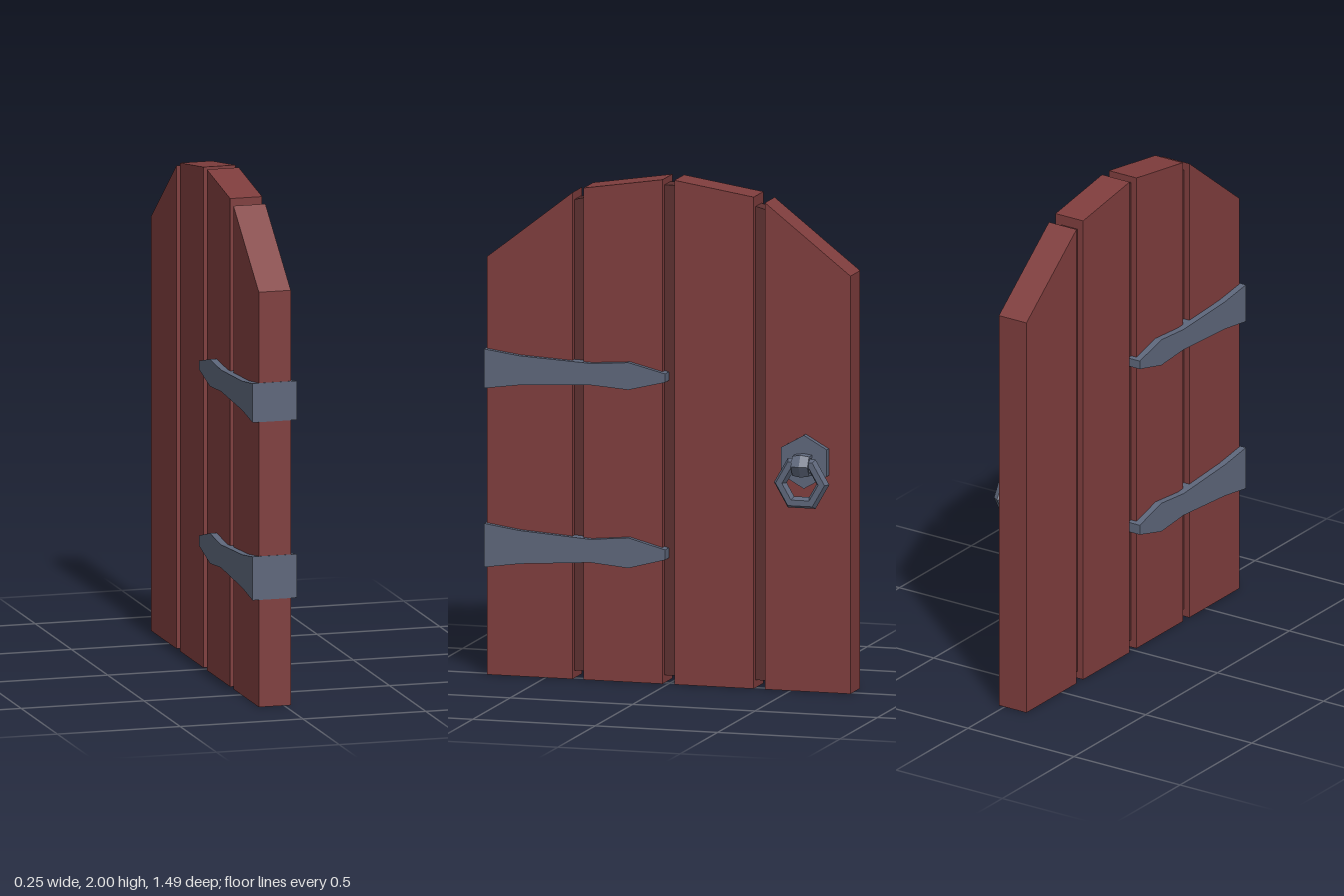
import * as THREE from 'three';

const wood = new THREE.MeshStandardMaterial({ color: 0x7f3d3d, flatShading: true });
const darkWood = new THREE.MeshStandardMaterial({ color: 0x5c3030, flatShading: true });
const iron = new THREE.MeshStandardMaterial({ color: 0x5d667a, flatShading: true });

// Cuts a slab from a [u, y] outline, where u = -z, between x0 and x1
function slab(name, outline, x0, x1, material) {
  const shape = new THREE.Shape(outline.map(([u, y]) => new THREE.Vector2(u, y)));
  const geometry = new THREE.ExtrudeGeometry(shape, { depth: x1 - x0, bevelEnabled: false });
  geometry.rotateY(Math.PI / 2).translate(x0, 0, 0);
  const mesh = new THREE.Mesh(geometry, material);
  mesh.name = name;
  return mesh;
}

function createStrap(name, y, halfHeights) {
  const us = [-0.745, -0.6, -0.31, -0.155, -0.005];
  const lower = us.map((u, i) => [u, y - halfHeights[i]]);
  const upper = us.map((u, i) => [u, y + halfHeights[i]]).reverse();
  return slab(name, [...lower, ...upper], -0.13, 0.05, iron);
}

function createHandle() {
  const handle = new THREE.Group();
  handle.name = 'handle';

  // Hexagonal plate, point up
  const hexagon = Array.from({ length: 6 }, (_, i) => {
    const a = Math.PI / 6 + i * Math.PI / 3;
    return [0.563 + 0.108 * Math.cos(a), 0.915 + 0.106 * Math.sin(a)];
  });
  handle.add(slab('handlePlate', hexagon, 0.02, 0.055, iron));

  // Broad staple that holds the ring
  const staple = new THREE.Mesh(new THREE.TorusGeometry(0.039, 0.012, 6, 6), iron);
  staple.name = 'handleStaple';
  staple.scale.z = 3.3;
  staple.position.set(0.074, 0.905, -0.563);
  handle.add(staple);

  // Six-sided pull ring
  const ring = new THREE.Mesh(new THREE.TorusGeometry(0.087, 0.026, 6, 6), iron);
  ring.name = 'handleRing';
  ring.rotation.y = Math.PI / 2;
  ring.position.set(0.083, 0.835, -0.563);
  handle.add(ring);
  return handle;
}

export function createModel() {
  const door = new THREE.Group();
  door.name = 'door';

  // Planks: left and right edge, top height at each edge
  const planks = [
    [-0.74, -0.39, 1.657, 1.93],
    [-0.345, -0.022, 1.95, 2.0],
    [0.026, 0.35, 2.0, 1.95],
    [0.396, 0.745, 1.93, 1.657],
  ];
  planks.forEach(([a, b, ya, yb], i) => {
    const outline = [[a, 0], [b, 0], [b, yb], [a, ya]];
    door.add(slab(`plank${i + 1}`, outline, -0.103, 0.027, wood));
  });

  // Thinner core that shows in the gaps
  const core = [[-0.42, 0.03], [0.42, 0.03], [0.42, 1.89], [0.345, 1.91], [0.03, 1.975],
    [-0.025, 1.975], [-0.34, 1.91], [-0.42, 1.89]];
  door.add(slab('core', core, -0.077, 0.0, darkWood));

  // Hinge straps
  door.add(createStrap('upperStrap', 1.217, [0.078, 0.058, 0.043, 0.054, 0.017]));
  door.add(createStrap('lowerStrap', 0.516, [0.087, 0.066, 0.046, 0.06, 0.02]));

  door.add(createHandle());
  return door;
}
